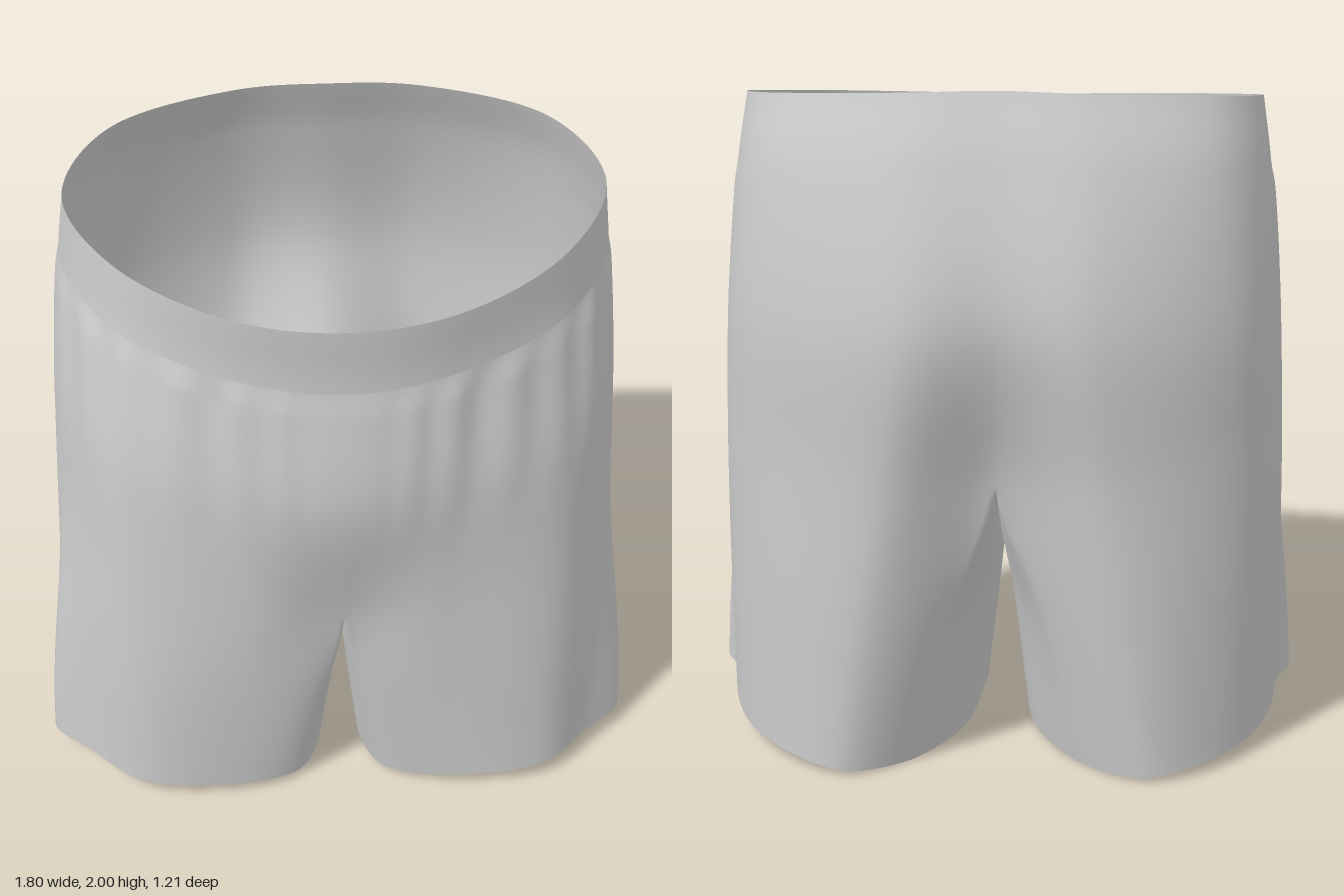
import * as THREE from 'three';
import { mergeGeometries, mergeVertices } from 'three/addons/utils/BufferGeometryUtils.js';

const COLS = 120, STEP = 14, INNER = 40;
const FORK = 3; // section where the trunk divides into legs

// Half sections of the left side, from front centre round the hip to back centre:
// y = heights at front, side and back; p = [x, z] pairs
const SECTIONS = [
  { y: [1.83, 1.925, 2.0], p: [[0, .6], [.3, .545], [.6, .33], [.745, .03], [.62, -.26], [.27, -.41], [0, -.42]] },
  { y: [1.62, 1.74, 1.8], p: [[0, .58], [.3, .525], [.62, .33], [.77, 0], [.65, -.32], [.3, -.49], [0, -.5]] },
  { y: [1.22, 1.32, 1.38], p: [[0, .598], [.3, .545], [.65, .39], [.81, .03], [.7, -.36], [.28, -.598], [0, -.58]] },
  { y: [.74, .97, .88], p: [[0, .48], [.28, .515], [.65, .415], [.83, .05], [.72, -.34], [.32, -.57], [0, -.45]] },
  { y: [.46, .55, .48], p: [[.045, .43], [.3, .49], [.65, .43], [.84, .1], [.73, -.33], [.38, -.55], [.13, -.41]] },
  { y: [.03, .075, .005], p: [[.13, .385], [.33, .45], [.66, .42], [.84, .12], [.74, -.31], [.45, -.515], [.25, -.4]] },
];

const V = (x, y, z) => new THREE.Vector3(x, y, z);
const smooth = THREE.MathUtils.smoothstep;
const curve = (pts) => new THREE.CatmullRomCurve3(pts);

// Curve whose first and last points only steer its end tangents
function guided(pts) {
  const c = curve(pts), n = pts.length - 1;
  return (u) => c.getPoint((1 + u * (n - 2)) / n);
}

function sectionCurve({ y: [f, s, b], p }) {
  const pts = p.map(([x, z], i) => {
    const t = Math.sin((i / 3 - 1) * Math.PI / 2); // -1 front, 0 side, 1 back
    return V(x, s + (b - f) / 2 * t + ((f + b) / 2 - s) * t * t, z);
  });
  // trunk sections meet their mirror image, leg sections turn inwards
  const guide = (a, b) => (a.x ? V(a.x - .07, a.y, a.z - Math.sign(a.z) * .12) : V(-b.x, b.y, b.z));
  return guided([guide(pts[0], pts[1]), ...pts, guide(pts[6], pts[5])]);
}

// Gathers below the waistband and the side fold that flares out at the hem;
// u runs round the half section, v counts sections downwards
function drape(p, u, v) {
  const gather = smooth(v, 1, 1.2) * (1 - smooth(v, 1.3, 2.6));
  const zone = smooth(u, .03, .12) * (1 - smooth(u, .3, .6));
  const folds = Math.sin(u * 88) + .6 * Math.sin(u * 53 + 1);
  const d = gather * (.006 * zone * folds + .008 * (1 - smooth(u, .4, .7)));
  const r = Math.hypot(p.x, p.z);
  p.x += d * p.x / r;
  p.z += d * p.z / r;
  if (p.x > .6) p.x += .08 * Math.exp(-(((p.z - .2) / .085) ** 2)) * (1 - smooth(p.y, 0, 1.1));
  return p;
}

// Outer panel as rows of points running from waist to hem
function outerPanel() {
  const sections = SECTIONS.map(sectionCurve);
  const last = (sections.length - 1) * STEP;
  const rows = Array.from({ length: last + 1 }, () => []);
  for (let c = 0; c <= COLS; c++) {
    const u = c / COLS;
    const column = curve(sections.map((s) => s(u)));
    for (let r = 0; r <= last; r++) {
      const p = column.getPoint(r / last);
      if (r <= FORK * STEP && (c === 0 || c === COLS)) p.x = 0;
      p.x = Math.max(p.x, 0);
      rows[r].push(drape(p, u, r / STEP));
    }
  }
  return rows;
}

// Inner leg: a blended patch between crotch seam, inner hem and the two outer panel edges
function innerPanel(outer) {
  const legs = outer.slice(FORK * STEP);
  const above = outer[FORK * STEP - 8];
  const back = legs.map((r) => r[COLS]), front = legs.map((r) => r[0]);
  const n = legs.length - 1;
  const crotch = guided([above[COLS], back[0], V(0, .76, -.27), V(0, .67, -.06), V(0, .635, .14), V(0, .66, .33), front[0], above[0]]);
  const hem = guided([legs[n][COLS - 12], back[n], V(.115, .015, -.2), V(.07, .025, .05), V(.065, .03, .25), front[n], legs[n][12]]);
  return legs.map((_, r) => {
    const t = r / n, row = [];
    for (let i = 0; i <= INNER; i++) {
      const u = i / INNER;
      const p = V(0, 0, 0)
        .addScaledVector(crotch(u), 1 - t).addScaledVector(hem(u), t)
        .addScaledVector(back[r], 1 - u).addScaledVector(front[r], u)
        .addScaledVector(back[0], -(1 - u) * (1 - t)).addScaledVector(front[0], -u * (1 - t))
        .addScaledVector(back[n], -(1 - u) * t).addScaledVector(front[n], -u * t);
      p.x = Math.max(p.x, 0);
      row.push(p);
    }
    return row;
  });
}

// Rows of points to a surface; side = -1 mirrors it to the right half
function surface(rows, side) {
  const w = rows[0].length, pos = [], index = [];
  rows.forEach((row) => row.forEach((p) => pos.push(side * p.x, p.y, p.z)));
  for (let r = 0; r < rows.length - 1; r++) {
    for (let c = 0; c < w - 1; c++) {
      const a = r * w + c, b = a + w;
      if (side > 0) index.push(a, b, a + 1, a + 1, b, b + 1);
      else index.push(a, a + 1, b, a + 1, b + 1, b);
    }
  }
  const g = new THREE.BufferGeometry();
  g.setAttribute('position', new THREE.Float32BufferAttribute(pos, 3));
  g.setIndex(index);
  return g;
}

export function createModel() {
  const group = new THREE.Group();
  const cloth = new THREE.MeshStandardMaterial({ color: 0xcccccc, side: THREE.DoubleSide });
  const outer = outerPanel();
  const inner = innerPanel(outer);

  // Mirrored halves are welded so the shading runs smoothly across the seams
  const add = (name, panels) => {
    const halves = panels.flatMap((rows) => [surface(rows, 1), surface(rows, -1)]);
    const g = mergeVertices(mergeGeometries(halves), 1e-4);
    g.computeVertexNormals();
    const mesh = new THREE.Mesh(g, cloth);
    mesh.name = name;
    group.add(mesh);
  };
  add('waistband', [outer.slice(0, STEP + 1)]);
  add('shortsBody', [outer.slice(STEP), inner]);
  return group;
}
